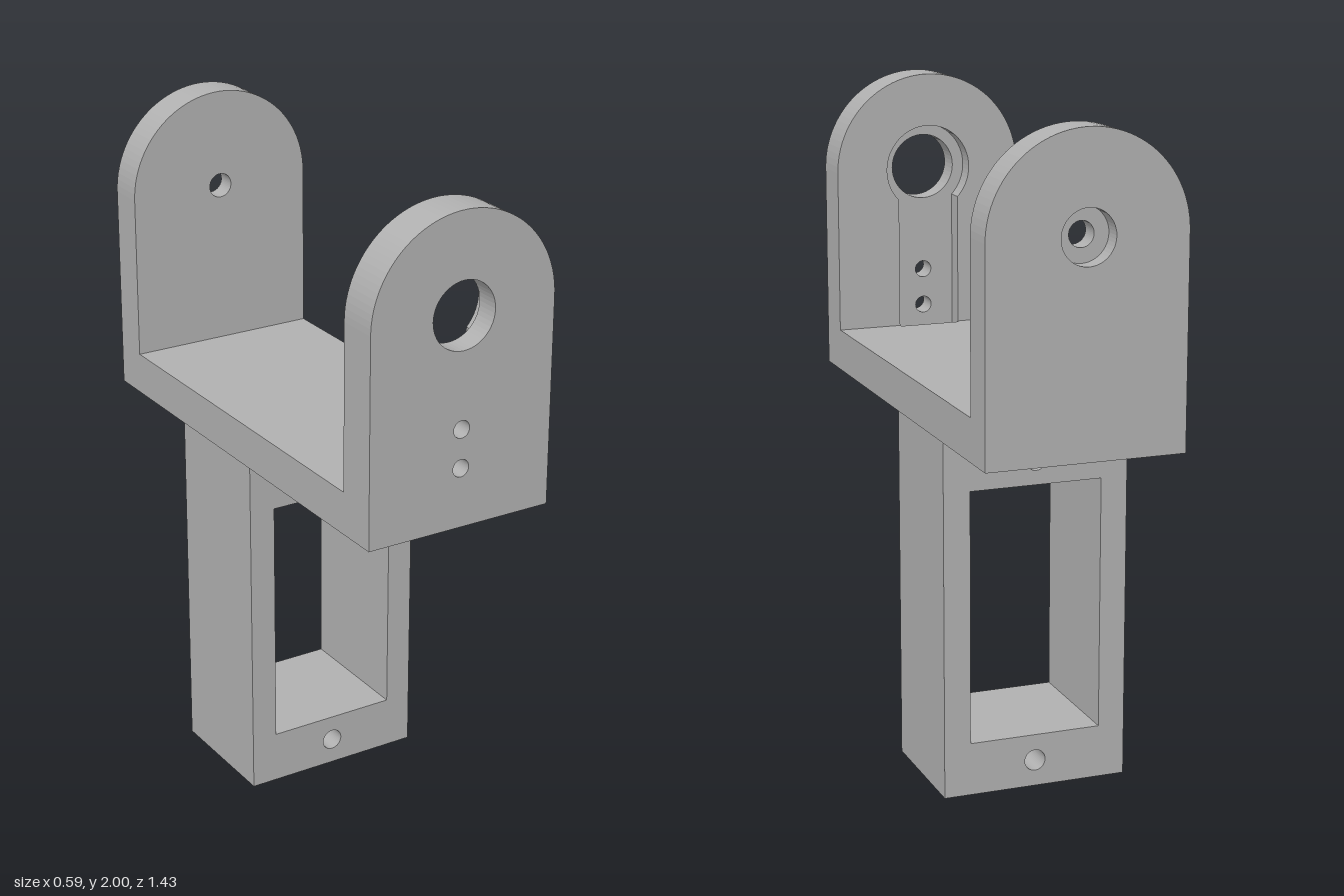
import * as THREE from 'three';

const HALF = 0.295, AXIS_Y = 1.706, BASE_Y = 1.085, FLOOR_Y = 1.212;
const FRONT_IN = 0.585, FRONT_STEP = 0.64, BACK_IN = -0.6, BACK_STEP = -0.66, END = 0.714;
const SLOT = 0.097, SLOT_Y = 1.19;

// closed outline from corner points
const polygon = (pts, Type = THREE.Shape) => new Type(pts.map(([x, y]) => new THREE.Vector2(x, y)));
const rect = (w, y0, y1, Type) => polygon([[-w, y0], [w, y0], [w, y1], [-w, y1]], Type);
const circle = (y, r) => new THREE.Path().absarc(0, y, r, 0, Math.PI * 2, false);

// round-topped plate outline
function arch(holes) {
  const s = new THREE.Shape();
  s.moveTo(-HALF, BASE_Y);
  s.lineTo(HALF, BASE_Y);
  s.absarc(0, AXIS_Y, HALF, 0, Math.PI, false);
  s.closePath();
  s.holes.push(...holes);
  return s;
}

// round recess with a straight channel running down from it
function keyhole() {
  const r = 0.135, a = Math.asin(SLOT / r), p = new THREE.Path();
  p.moveTo(-SLOT, SLOT_Y);
  p.lineTo(SLOT, SLOT_Y);
  p.absarc(0, AXIS_Y, r, -Math.PI / 2 + a, 1.5 * Math.PI - a, false);
  p.closePath();
  return p;
}

export function createModel() {
  const group = new THREE.Group();
  group.name = 'bracket';
  const grey = new THREE.MeshStandardMaterial({ color: 0xb0b0b0 });
  grey.name = 'grey';

  const add = (name, geometry) => {
    const mesh = new THREE.Mesh(geometry, grey);
    mesh.name = name;
    group.add(mesh);
    return mesh;
  };
  const slab = (name, shape, z0, z1) => {
    const g = new THREE.ExtrudeGeometry(shape, { depth: z1 - z0, bevelEnabled: false, curveSegments: 24 });
    return add(name, g.translate(0, 0, z0));
  };

  // front arm: outer web with bore and screw holes, inner layer with recess
  slab('frontArmWeb', arch([circle(AXIS_Y, 0.1), circle(1.378, 0.026), circle(1.263, 0.026)]), FRONT_STEP, END);
  slab('frontArmRecess', arch([keyhole()]), FRONT_IN, FRONT_STEP);

  // back arm: small pivot hole with a counterbore on the outside
  slab('backArmInner', arch([circle(AXIS_Y, 0.037)]), BACK_STEP, BACK_IN);
  slab('backArmCounterbore', arch([circle(AXIS_Y, 0.08)]), -END, BACK_STEP);

  // bridge between the arms, its top layer notched where the channel ends
  const length = FRONT_IN - BACK_IN;
  add('bridge', new THREE.BoxGeometry(HALF * 2, SLOT_Y - BASE_Y, length))
    .position.set(0, (SLOT_Y + BASE_Y) / 2, (FRONT_IN + BACK_IN) / 2);
  const notchZ = FRONT_IN - 0.011;
  const top = polygon([[-HALF, BACK_IN], [HALF, BACK_IN], [HALF, FRONT_IN], [SLOT, FRONT_IN],
    [SLOT, notchZ], [-SLOT, notchZ], [-SLOT, FRONT_IN], [-HALF, FRONT_IN]]);
  const topLayer = new THREE.ExtrudeGeometry(top, { depth: FLOOR_Y - SLOT_Y, bevelEnabled: false });
  add('bridgeTop', topLayer.rotateX(Math.PI / 2)).position.y = FLOOR_Y;

  // lower frame with a window and two mounting holes
  const frame = rect(0.283, 0, BASE_Y);
  frame.holes.push(rect(0.202, 0.16, 0.925, THREE.Path), circle(1.0, 0.032), circle(0.08, 0.032));
  slab('lowerFrame', frame, -0.342, 0.053);

  return group;
}
